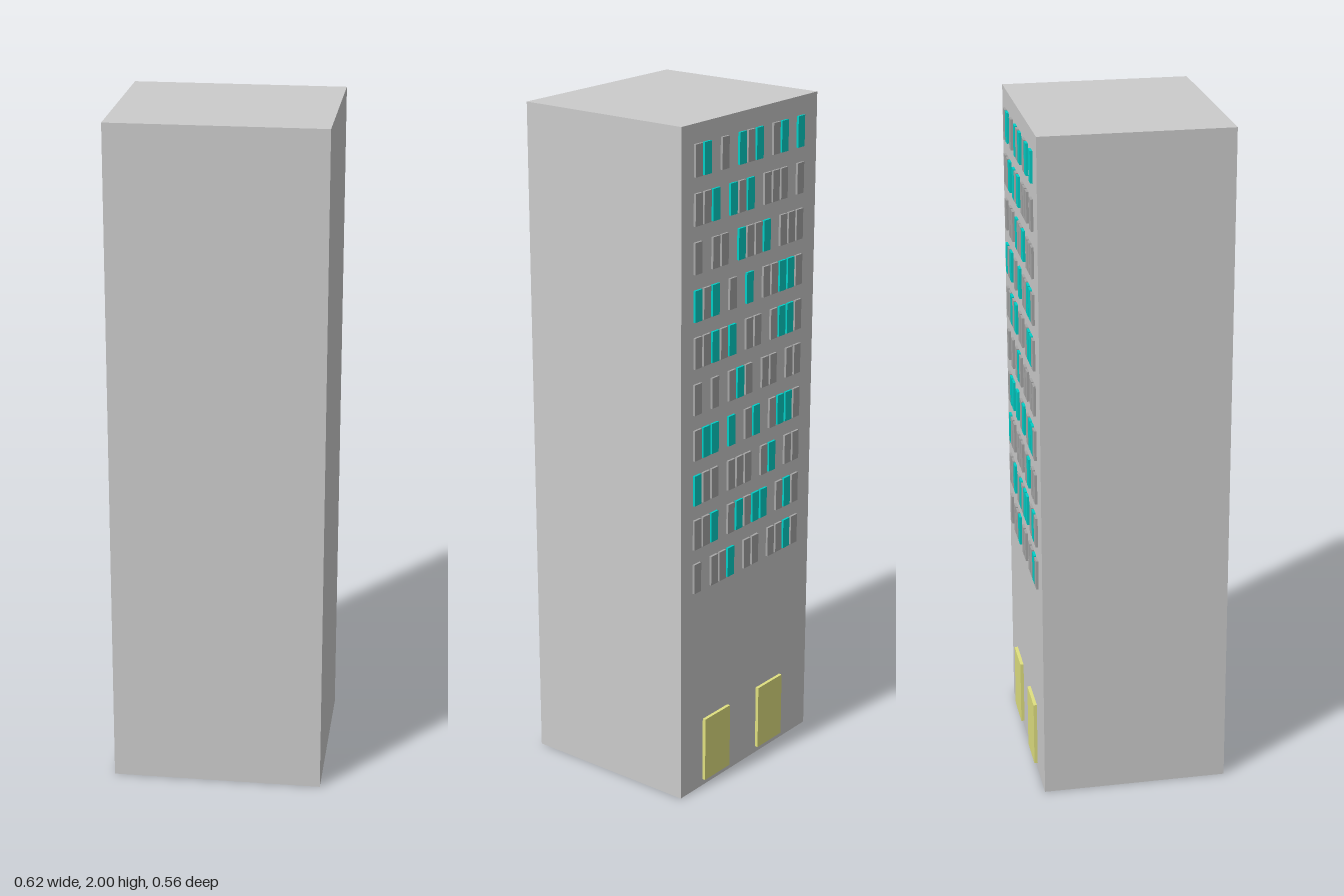
import * as THREE from 'three';

const material = (color) => new THREE.MeshStandardMaterial({ color });

// Window layout, top floor first, from the +x edge to the -x edge:
// g = dark window, t = lit teal window, . = bare wall
const FLOORS = [
  'gt.g.tgt.gt.t',
  'ggt.tgt.ggg.g',
  'g.gg.tggt.ggg',
  'tgt.g.t.ggttg',
  'ggtgt.gg.gttg',
  'g.g.gtg.gg.gg',
  'gtt.t.gt.gttg',
  'tgg.ggg.gt.gg',
  'ggt.gtgtt.gtg',
  'g.ggt.gg.ggtg',
];

export function createModel() {
  const building = new THREE.Group();
  building.name = 'towerBlock';
  const wallZ = -0.27;

  const addBox = (parent, name, size, position, mat) => {
    const mesh = new THREE.Mesh(new THREE.BoxGeometry(...size), mat);
    mesh.name = name;
    mesh.position.set(...position);
    parent.add(mesh);
  };

  // Main block
  addBox(building, 'tower', [0.622, 2, 0.548], [0, 1, wallZ + 0.274], material(0xcccccc));

  // Thin window panels on the back wall
  const windows = new THREE.Group();
  windows.name = 'windows';
  building.add(windows);
  const panes = { g: material(0xa6a6a6), t: material(0x00d0c8) };
  FLOORS.forEach((floor, row) => {
    [...floor].forEach((kind, column) => {
      if (kind === '.') return;
      const x = 0.242 - column * 0.0392;
      const y = 1.9 - row * 0.135;
      addBox(windows, kind === 't' ? 'litWindow' : 'darkWindow',
        [0.031, 0.09, 0.007], [x, y, wallZ - 0.0035], panes[kind]);
    });
  });

  // Two entrance doors
  const doorMaterial = material(0xe0e080);
  for (const [name, x] of [['leftDoor', 0.147], ['rightDoor', -0.115]]) {
    addBox(building, name, [0.12, 0.2, 0.01], [x, 0.12, wallZ - 0.005], doorMaterial);
  }

  return building;
}
